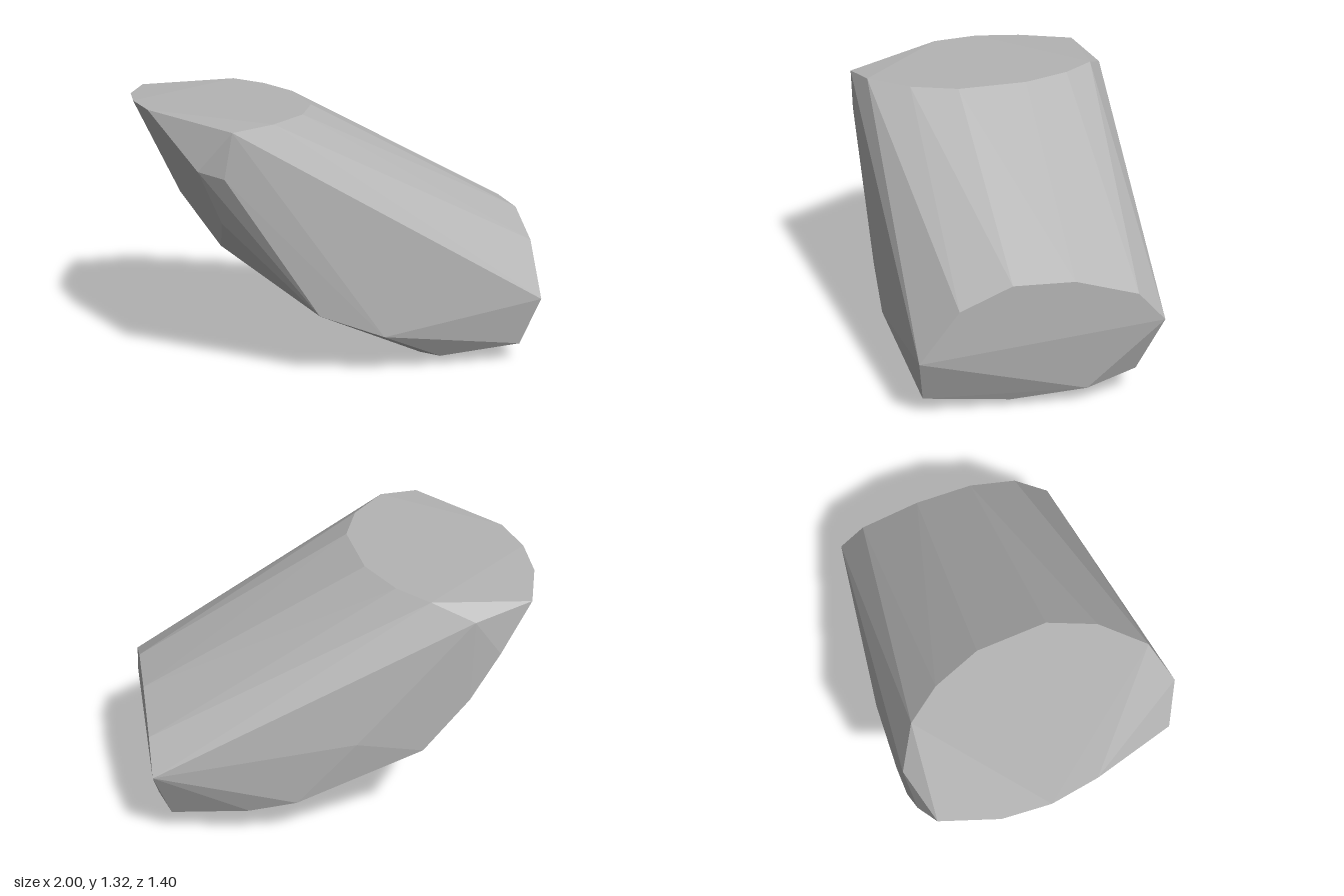
import * as THREE from 'three';
import { ConvexGeometry } from 'three/addons/geometries/ConvexGeometry.js';

// Faceted, slanted boulder: a convex hull over a few rings of corners.
export function createModel() {
  const group = new THREE.Group();
  group.name = 'boulder';
  const stone = new THREE.MeshStandardMaterial({ color: 0xb4b4b4 });
  stone.name = 'stone grey';

  // Flat top, going round the rim
  const topRim = [
    [-1, 1.32, -0.08], [-0.99, 1.31, -0.33], [-0.9, 1.3, -0.62], [-0.6, 1.25, -0.7],
    [-0.4, 1.32, -0.59], [-0.26, 1.32, -0.42], [-0.15, 1.32, -0.17], [-0.12, 1.32, 0.2],
    [-0.21, 1.32, 0.44], [-0.39, 1.32, 0.64], [-0.6, 1.3, 0.7], [-0.95, 1.32, 0.17],
  ];
  // Cut end at +x and the corners just under it
  const cutEnd = [
    [1, 0.34, 0.63], [1, 0.6, 0.43], [1, 0.71, 0.17], [1, 0.7, -0.14], [1, 0.6, -0.46], [1, 0.445, -0.6],
    [0.9, 0.095, 0.6], [0.91, 0.04, 0.16], [0.96, 0.085, -0.22], [0.91, 0.14, -0.485],
  ];
  // Front and back flanks
  const flanks = [
    [-0.76, 1.1, 0.63], [-0.64, 1.07, 0.69], [-0.64, 0.82, 0.57], [-0.17, 0.34, 0.67], [0.16, 0.21, 0.68],
    [-0.74, 1.05, -0.68], [-0.59, 0.81, -0.7], [-0.36, 0.53, -0.7], [-0.02, 0.6, -0.7],
    [0.28, 0.25, -0.66], [0.52, 0.185, -0.6],
  ];
  // Curved underside
  const underside = [
    [-0.85, 1, -0.1], [-0.77, 0.83, -0.05], [-0.62, 0.65, 0.38], [-0.6, 0.59, -0.1], [-0.4, 0.41, 0.01],
    [-0.1, 0.21, -0.2], [0.13, 0.09, 0.1], [0.2, 0.12, -0.4], [0.43, 0, 0.37],
    [0.48, 0.05, 0.58], [0.69, 0, 0.07], [0.6, 0.04, -0.24],
  ];

  const corners = [topRim, cutEnd, flanks, underside].flat().map((p) => new THREE.Vector3(...p));
  const body = new THREE.Mesh(new ConvexGeometry(corners), stone);
  body.name = 'boulderBody';
  group.add(body);
  return group;
}
